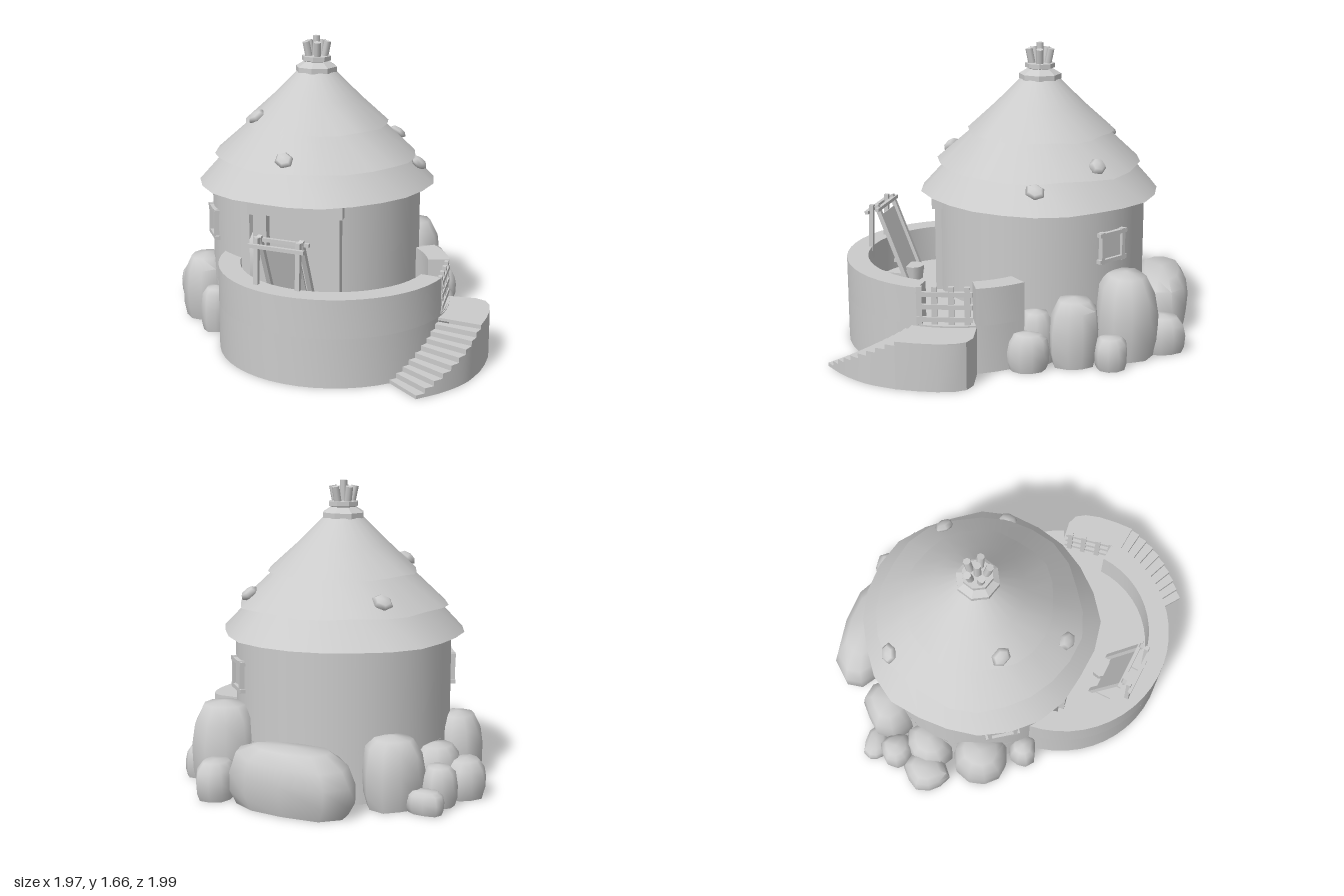
import * as THREE from 'three';
import { toCreasedNormals } from 'three/addons/utils/BufferGeometryUtils.js';

const HUT = [-0.09, -0.12];      // hut axis (x, z)
const YARD = [0.115, 0.33];      // terrace centre (x, z)
const FLOOR = 0.27;

export function createModel() {
  const root = new THREE.Group();
  root.name = 'roundHut';
  const mat = new THREE.MeshStandardMaterial({ color: 0xcccccc });
  const thin = new THREE.MeshStandardMaterial({ color: 0xcccccc, side: THREE.DoubleSide });

  const group = (name, x = 0, y = 0, z = 0, parent = root) => {
    const g = new THREE.Group();
    g.name = name;
    g.position.set(x, y, z);
    parent.add(g);
    return g;
  };
  const add = (name, geo, parent = root, material = mat) => {
    const m = new THREE.Mesh(geo, material);
    m.name = name;
    parent.add(m);
    return m;
  };
  const box = (name, w, h, d, x, y, z, parent = root) => {
    const m = add(name, new THREE.BoxGeometry(w, h, d), parent);
    m.position.set(x, y, z);
    return m;
  };
  // Straight bar between two points
  const bar = (name, a, b, t, parent) => {
    const p = new THREE.Vector3(...a), q = new THREE.Vector3(...b);
    const m = add(name, new THREE.BoxGeometry(t, p.distanceTo(q), t), parent);
    m.position.copy(p).lerp(q, 0.5);
    m.quaternion.setFromUnitVectors(new THREE.Vector3(0, 1, 0), q.sub(p).normalize());
  };
  // Vertical slab from a plan outline of [x, z] points
  const slab = (name, pts, y0, y1, parent) => {
    const shape = new THREE.Shape(pts.map(p => new THREE.Vector2(...p)));
    const geo = new THREE.ExtrudeGeometry(shape, { depth: y1 - y0, bevelEnabled: false });
    geo.rotateX(Math.PI / 2).translate(0, y1, 0);
    add(name, toCreasedNormals(geo, 0.5), parent);
  };
  // Thin upright wall from the ground along [x, z] points, topped at height(t)
  const skirt = (name, pts, height, parent) => {
    const geo = new THREE.PlaneGeometry(1, 1, pts.length - 1, 1);
    const p = geo.attributes.position;
    pts.forEach(([x, z], i) => {
      p.setXYZ(i, x, height(i / (pts.length - 1)), z);
      p.setXYZ(i + pts.length, x, 0, z);
    });
    add(name, toCreasedNormals(geo, 0.6), parent, thin);
  };
  const arc = (r, a0, a1, n) => Array.from({ length: n + 1 }, (_, i) => {
    const a = a0 + (a1 - a0) * i / n;
    return [YARD[0] + r * Math.cos(a), YARD[1] + r * Math.sin(a)];
  });

  // Hut wall: doorway gap above the terrace floor, open to the terrace below it
  const hut = group('hut', HUT[0], 0, HUT[1]);
  const wall = (name, y0, y1, start, length) => {
    const m = add(name, new THREE.CylinderGeometry(0.605, 0.605, y1 - y0, 32, 1, true, start, length), hut, thin);
    m.position.y = (y0 + y1) / 2;
  };
  wall('upperWall', FLOOR, 0.87, 0.46, Math.PI * 2 - 0.89);
  wall('lowerWall', 0, FLOOR, 1.64, 3.84);

  // Thatch tiers with ragged lower edges
  const tiers = [
    ['lowerThatch', [[0.675, 0.83], [0.52, 1.0]]],
    ['middleThatch', [[0.58, 0.985], [0.36, 1.19]]],
    ['upperThatch', [[0.415, 1.165], [0.255, 1.315], [0.1, 1.47]]],
  ];
  tiers.forEach(([name, prof], k) => {
    const geo = new THREE.LatheGeometry(prof.map(p => new THREE.Vector2(...p)), 24);
    const p = geo.attributes.position;
    for (let i = 0; i < p.count; i++) {
      if (p.getY(i) > prof[0][1] + 0.001) continue;
      const a = Math.atan2(p.getX(i), p.getZ(i));
      const s = 1 + 0.016 * Math.sin(5 * a + k * 2) + 0.01 * Math.sin(8 * a + k);
      p.setXYZ(i, p.getX(i) * s, p.getY(i) + (k ? 0.006 * Math.sin(7 * a + k) : 0), p.getZ(i) * s);
    }
    geo.computeVertexNormals();
    add(name, toCreasedNormals(geo, 0.7), hut, thin);
  });

  // Roof cap and bundle of sticks
  const cap = [[0, 1.45], [0.12, 1.455], [0.12, 1.485], [0.07, 1.515], [0.085, 1.52], [0.085, 1.545], [0, 1.55]];
  add('roofCap', toCreasedNormals(new THREE.LatheGeometry(cap.map(p => new THREE.Vector2(...p)), 8), 0.4), hut);
  const stick = (top, x, z, spread) => {
    const m = add('roofStick', new THREE.CylinderGeometry(0.021, 0.021, top - 1.5, 7), hut);
    m.position.set(x, (top + 1.5) / 2, z);
    m.rotation.set(z * spread, 0, -x * spread);
  };
  stick(1.66, 0, 0, 0);
  for (let i = 0; i < 5; i++) stick(1.63, 0.052 * Math.cos(i * 1.257), 0.052 * Math.sin(i * 1.257), 4);

  // Loose tufts lying on the thatch: x, y, z
  [[-0.49, 1.07, -0.52], [0.33, 1.05, -0.45], [0.51, 0.95, -0.12], [-0.39, 1.22, 0.09], [-0.15, 1.05, 0.4]].forEach(([x, y, z], i) => {
    const g = group('thatchTuft', x, y, z);
    g.rotation.y = Math.atan2(x - HUT[0], z - HUT[1]);
    const m = add('tuft', new THREE.SphereGeometry(1, 6, 4), g);
    m.scale.set(0.06, 0.028, 0.05);
    m.rotation.set(0.7, 0.6 * (i % 2 ? 1 : -1), 0);
  });

  // Windows: pane with crossing rails and stiles
  [[-0.53, 0.28], [0.44, -0.41]].forEach(([x, z]) => {
    const w = group('window', x, 0.61, z, hut);
    w.rotation.y = Math.atan2(x, z);
    for (const s of [-1, 1]) {
      box('windowRail', 0.2, 0.022, 0.05, 0, s * 0.075, 0, w);
      box('windowStile', 0.022, 0.18, 0.05, s * 0.075, 0, 0, w);
    }
    box('windowPane', 0.15, 0.15, 0.025, 0, 0, -0.005, w);
  });

  // Doorway
  const door = group('doorway');
  box('lintel', 0.53, 0.08, 0.09, -0.075, 0.795, 0.43, door);
  box('leftPost', 0.075, 0.49, 0.07, 0.135, 0.51, 0.425, door);
  box('rightPost', 0.075, 0.49, 0.07, -0.275, 0.51, 0.425, door);
  box('doorPanel', 0.5, 0.6, 0.02, -0.07, 0.56, 0.36, door);

  // Terrace: floor sheet, hollow base and parapet with a gap for the gate
  const yard = group('terrace');
  slab('terraceFloor', arc(0.63, -0.675, 3.2, 30), FLOOR - 0.015, FLOOR, yard);
  skirt('terraceBase', [[0.5, -0.02], ...arc(0.64, -0.675, 3.2, 30)], () => FLOOR, yard);
  const parapet = (a0, a1, n) =>
    slab('parapet', [...arc(0.64, a0, a1, n), ...arc(0.52, a1, a0, n)], FLOOR, 0.48, yard);
  parapet(0.25, 3.2, 23);
  parapet(-0.675, -0.24, 4);

  // Gate
  const gate = group('gate', 0.725, 0, 0);
  [0.225, 0.31, 0.4, 0.48].forEach(z => box('gateUpright', 0.022, 0.21, 0.03, 0, 0.38, z, gate));
  [0.305, 0.375, 0.445].forEach(y => box('gateRail', 0.02, 0.026, 0.3, 0.006, y, 0.345, gate));

  // Curved hollow stair and landing
  const stair = group('stair');
  const curve = pts => new THREE.CatmullRomCurve3(pts.map(([x, z]) => new THREE.Vector3(x, 0, z)));
  const inner = curve([[0.51, 0.82], [0.6, 0.74], [0.67, 0.63], [0.715, 0.52]]);
  const outer = curve([[0.68, 0.99], [0.8, 0.88], [0.9, 0.74], [0.958, 0.58]]);
  const at = (c, t) => { const p = c.getPoint(t); return [p.x, p.z]; };
  const STEPS = 9;
  const rise = i => 0.02 + 0.25 * i / STEPS;
  for (let i = 0; i < STEPS; i++) {
    const a = i / STEPS, b = (i + 1) / STEPS;
    slab('step', [at(inner, a), at(outer, a), at(outer, b), at(inner, b)], Math.max(0, rise(i) - 0.03), rise(i), stair);
  }
  skirt('stairSide', Array.from({ length: 19 }, (_, i) => at(outer, i / 18)), t => Math.max(0, t * 0.25 - 0.005), stair);
  const rim = [[0.958, 0.58], [0.975, 0.47], [0.982, 0.36], [0.972, 0.27], [0.945, 0.21], [0.89, 0.18], [0.73, 0.175]];
  slab('landing', [[0.715, 0.52], ...rim, [0.7, 0.3]], FLOOR - 0.02, FLOOR - 0.005, stair);
  skirt('landingSide', rim, () => FLOOR - 0.005, stair);

  // Weaving frame on the terrace
  const loom = group('weavingFrame', -0.06, 0, 0.73);
  loom.rotation.y = -0.2;
  for (const x of [-0.12, 0.12]) {
    bar('frameUpright', [x, FLOOR, 0.11], [x, 0.73, 0.09], 0.025, loom);
    bar('frameBrace', [x, FLOOR, -0.12], [x, 0.73, 0.06], 0.025, loom);
    bar('frameFoot', [x, 0.32, -0.11], [x, 0.32, 0.12], 0.02, loom);
  }
  for (const [y, z] of [[0.69, 0.11], [0.71, 0.045], [0.36, 0.12]])
    bar('frameCrossbar', [-0.16, y, z], [0.16, y, z], 0.02, loom);
  const cloth = box('cloth', 0.19, 0.36, 0.008, 0, 0.5, -0.025, loom);
  cloth.rotation.x = 0.37;

  // Stool
  const stool = add('stool', new THREE.CylinderGeometry(0.06, 0.05, 0.08, 8));
  stool.position.set(-0.02, FLOOR + 0.04, 0.615);

  // Boulders around the base: x, z, half width, height, half depth, turn
  const boulders = [
    [-0.72, 0.05, 0.14, 0.38, 0.16, 0.1], [-0.87, -0.25, 0.11, 0.21, 0.13, 0.7],
    [-0.59, 0.28, 0.085, 0.26, 0.085, 0.2], [-0.79, -0.46, 0.095, 0.22, 0.1, 0.6],
    [-0.77, -0.6, 0.11, 0.12, 0.07, 0.1], [-0.71, -0.27, 0.13, 0.28, 0.14, 0.4],
    [-0.57, -0.56, 0.16, 0.38, 0.16, 0.7], [-0.12, -0.84, 0.37, 0.34, 0.16, 0],
    [0.34, -0.83, 0.11, 0.21, 0.12, 0.2], [0.4, -0.62, 0.18, 0.48, 0.165, 0.5],
    [0.61, -0.535, 0.08, 0.18, 0.095, 0.2], [0.55, -0.335, 0.13, 0.38, 0.135, 0.1],
    [0.65, -0.09, 0.09, 0.21, 0.11, 0.6], [0.54, -0.13, 0.09, 0.3, 0.1, 0.4],
  ];
  const profile = [[0.86, 0], [0.98, 0.2], [1, 0.5], [0.9, 0.8], [0.62, 0.96], [0, 1]];
  boulders.forEach(([x, z, w, h, d, turn], k) => {
    const geo = new THREE.LatheGeometry(profile.map(p => new THREE.Vector2(...p)), 10);
    const p = geo.attributes.position;
    for (let i = 0; i < p.count; i++) {
      const a = Math.atan2(p.getX(i), p.getZ(i)), y = p.getY(i);
      const s = 1.02 - 0.05 * Math.cos(4 * a) + 0.04 * Math.sin(2 * a + k * 1.7 + y * 2) + 0.04 * Math.sin(3 * a + k * 2.3);
      p.setXYZ(i, p.getX(i) * s, y * (y > 0.5 && y < 0.9 ? 1 + 0.07 * Math.sin(a + k) : 1), p.getZ(i) * s);
    }
    geo.rotateY(turn).scale(w, h, d);
    const m = add('boulder', toCreasedNormals(geo, 1.1), root, thin);
    m.position.set(x, 0, z);
  });

  return root;
}
